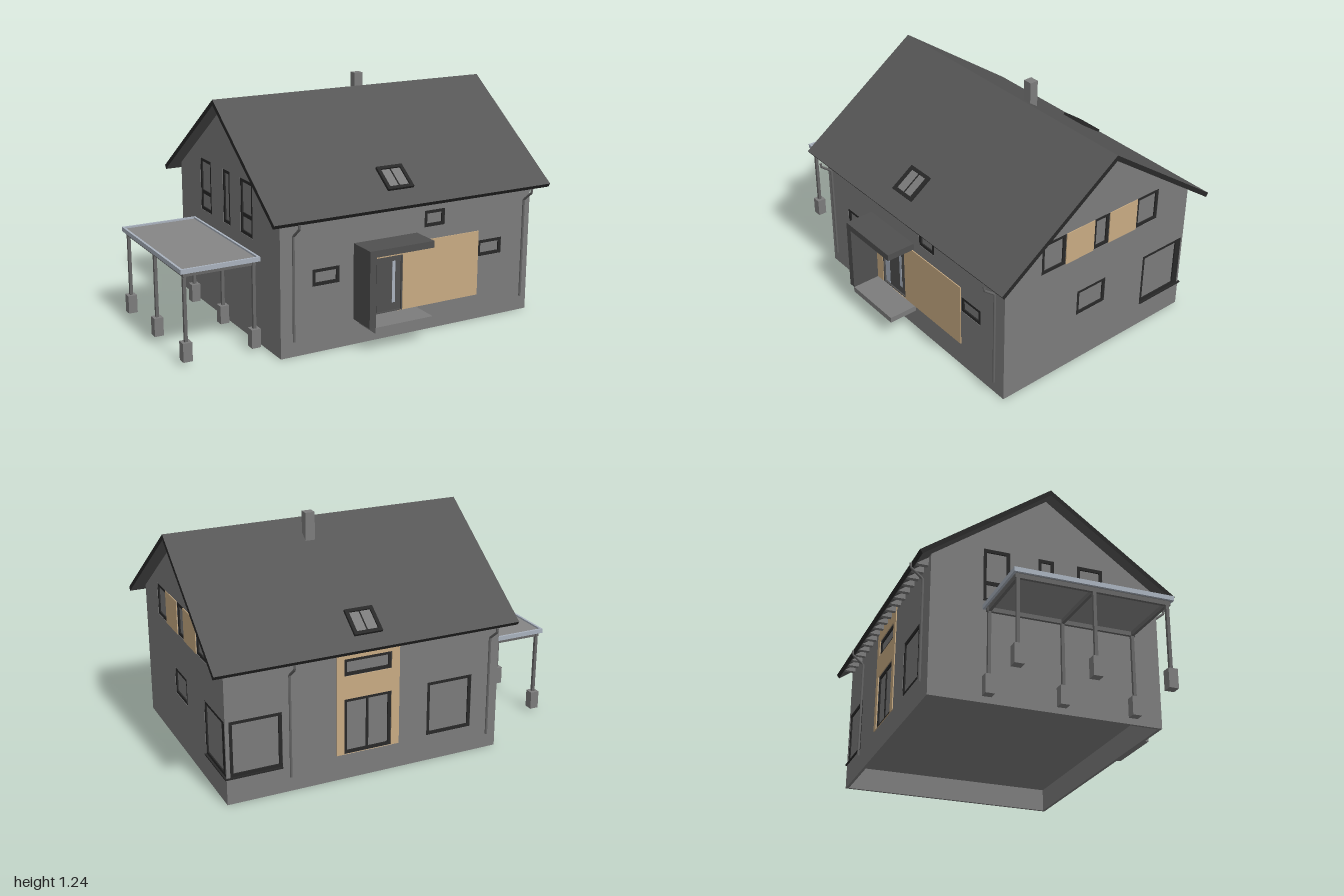
import * as THREE from 'three';

const mat = (name, color, side = THREE.FrontSide) => {
  const m = new THREE.MeshStandardMaterial({ color, side });
  m.name = name;
  return m;
};
const render = mat('greyRender', 0x7c7c7c);
const roofing = mat('roofTiles', 0x565656);
const dark = mat('darkFrame', 0x282828);
const wood = mat('woodCladding', 0xc8ab83);
const glass = mat('windowGlass', 0x7b7b7b);
const light = mat('lightTrim', 0xa9b2be);
const slate = mat('slatePanel', 0x505050);
const sheet = mat('carportSheet', 0x868686);
const pipe = mat('pipeMetal', 0x666666);

// House extents
const X0 = -0.553, X1 = 0.927, Z0 = -0.643, Z1 = 0.562;
const T = 0.015, FLOOR = 0.135;
const RIDGE_Y = 1.186, RIDGE_Z = -0.04, RUN = 0.68, DROP = 0.481;
const PITCH = Math.atan2(DROP, RUN), SLOPE = Math.hypot(RUN, DROP);
const under = z => RIDGE_Y - 0.02 - Math.abs(z - RIDGE_Z) * DROP / RUN;

function add(parent, name, geometry, material) {
  const m = new THREE.Mesh(geometry, material);
  m.name = name;
  parent.add(m);
  return m;
}

// Box given by its two opposite corners
function box(parent, name, material, [x0, y0, z0], [x1, y1, z1]) {
  const m = add(parent, name, new THREE.BoxGeometry(x1 - x0, y1 - y0, z1 - z0), material);
  m.position.set((x0 + x1) / 2, (y0 + y1) / 2, (z0 + z1) / 2);
  return m;
}

const outline = pts => new THREE.Shape(pts.map(p => new THREE.Vector2(...p)));
const rect = ([u0, v0, u1, v1]) => [[u0, v0], [u1, v0], [u1, v1], [u0, v1]];

// Flat panel with rectangular holes, from depth z0 to z1
function panel(parent, name, material, pts, holes, z0, z1) {
  const s = outline(pts);
  holes.forEach(h => s.holes.push(outline(rect(h))));
  const g = new THREE.ExtrudeGeometry(s, { depth: z1 - z0, bevelEnabled: false });
  g.translate(0, 0, z0);
  return add(parent, name, g, material);
}

// Recessed window: frame ring, pane and optional bars
function windowUnit(parent, r, { f = 0.017, fr = f, mullion, transom } = {}) {
  const [u0, v0, u1, v1] = r;
  const g = new THREE.Group();
  g.name = 'window';
  parent.add(g);
  panel(g, 'windowFrame', dark, rect(r), [[u0 + f, v0 + f, u1 - fr, v1 - f]], -T, -0.002);
  box(g, 'windowPane', glass, [u0 + 0.005, v0 + 0.005, -0.014], [u1 - 0.005, v1 - 0.005, -0.009]);
  if (mullion) box(g, 'mullion', dark, [mullion - 0.006, v0, -0.013], [mullion + 0.006, v1, -0.004]);
  if (transom) box(g, 'transom', dark, [u0, transom - 0.01, -0.013], [u1, transom + 0.01, -0.004]);
}

// Wall with openings, in its own plane facing +z
function wall(parent, name, pts, windows, extraHoles = []) {
  const g = new THREE.Group();
  g.name = name;
  parent.add(g);
  panel(g, name + 'Surface', render, pts, [...windows.map(w => w[0]), ...extraHoles], -T, 0);
  windows.forEach(([r, opt]) => windowUnit(g, r, opt));
  return g;
}

function buildWalls(house) {
  // Front wall with cladding and entrance door
  const doorway = [-0.06, FLOOR, 0.137, 0.43];
  const front = wall(house, 'frontWall', rect([X0 + T, 0, X1 - T, under(Z1)]), [
    [[-0.377, 0.343, -0.227, 0.43]],
    [[0.601, 0.343, 0.75, 0.43]],
    [[0.265, 0.55, 0.388, 0.637]],
  ], [doorway]);
  front.position.z = Z1;
  panel(front, 'frontCladding', wood, rect([-0.115, FLOOR, 0.6, 0.485]), [doorway], 0, 0.005);
  panel(front, 'doorFrame', slate, rect(doorway), [[-0.053, 0.14, 0.13, 0.423]], -T, 0.002);
  box(front, 'doorLeaf', slate, [-0.01, FLOOR, -0.014], [0.132, 0.425, -0.006]);
  box(front, 'doorSideLight', light, [-0.055, FLOOR, -0.014], [-0.014, 0.425, -0.008]);
  box(front, 'doorGlassStrip', light, [0.08, 0.18, -0.007], [0.097, 0.4, -0.004]);

  // Back wall: u runs towards -x
  const terrace = [-0.315, FLOOR, -0.058, 0.43], upper = [-0.315, 0.55, -0.058, 0.64];
  const back = wall(house, 'backWall', rect([-X1 + T, 0, -X0 - T, under(Z0)]), [
    [terrace, { mullion: -0.187 }],
    [upper],
    [[0.145, 0.14, 0.4, 0.43]],
    [[-0.908, 0.14, -0.64, 0.43]],
  ]);
  back.position.z = Z0;
  back.rotation.y = Math.PI;
  panel(back, 'backCladding', wood, rect([-0.355, FLOOR, -0.015, under(Z0) - 0.01]), [terrace, upper], 0, 0.005);

  // Gable walls
  const gable = (a, b, ridge) => [[a, 0], [b, 0], [b, under(Z0)], [ridge, under(RIDGE_Z)], [a, under(Z0)]];
  const left = wall(house, 'leftGable', gable(-Z1, -Z0, -RIDGE_Z), [
    [[-0.34, 0.64, -0.19, 0.815]],
    [[-0.01, 0.64, 0.09, 0.815]],
    [[0.275, 0.64, 0.425, 0.815]],
    [[-0.1, 0.285, 0.09, 0.43]],
    [[0.353, 0.14, 0.633, 0.43], { fr: 0.037 }],
  ]);
  left.position.x = X1;
  left.rotation.y = Math.PI / 2;
  [[-0.19, -0.01], [0.09, 0.275]].forEach(([a, b]) =>
    panel(left, 'gableCladding', wood, rect([a, 0.64, b, 0.815]), [], 0, 0.004));

  const right = wall(house, 'rightGable', gable(Z0, Z1, RIDGE_Z), [
    [[-0.375, 0.53, -0.235, 0.815], { transom: 0.63 }],
    [[-0.085, 0.53, 0.0, 0.815]],
    [[0.125, 0.53, 0.265, 0.815], { transom: 0.63 }],
  ]);
  right.position.x = X0;
  right.rotation.y = -Math.PI / 2;

  // Raised floor above the open base, and the corner window sill
  box(house, 'floorSlab', render, [X0 + T, FLOOR - 0.01, Z0 + T], [X1 - T, FLOOR, Z1 - T]);
  box(house, 'cornerSillSide', dark, [X1 - T, 0.134, Z0 - 0.008], [X1 + 0.008, 0.141, -0.353]);
  box(house, 'cornerSillBack', dark, [0.64, 0.134, Z0 - 0.008], [X1 + 0.008, 0.141, Z0 + T]);
}

// One roof slope; local +z runs down from the ridge
function buildSlope(house, name, turn, x0, x1, sky) {
  const side = new THREE.Group(), slope = new THREE.Group();
  side.name = name;
  slope.name = name + 'Slope';
  side.position.set(0, RIDGE_Y, RIDGE_Z);
  side.rotation.y = turn;
  slope.rotation.x = PITCH;
  side.add(slope);
  house.add(side);
  box(slope, 'roofSlab', [dark, dark, roofing, roofing, dark, dark], [x0, -0.024, 0], [x1, 0, SLOPE]);

  // Skylight
  const [a, s0, b, s1] = sky, w = 0.018, mid = (a + b) / 2;
  const ring = panel(slope, 'skylightFrame', dark, rect([a, -s1, b, -s0]),
    [[a + w, -s1 + w, b - w, -s0 - w]], 0, 0.014);
  ring.rotation.x = -Math.PI / 2;
  box(slope, 'skylightPane', glass, [a + 0.005, 0, s0 + 0.005], [b - 0.005, 0.006, s1 - 0.005]);
  box(slope, 'skylightBar', dark, [mid - 0.003, 0, s0], [mid + 0.003, 0.009, s1]);
}

// Rafter tails and downpipes for one eave; dir is +1 front, -1 back
function buildEave(house, dir, wallZ, pipeXs) {
  const tail = outline([[-0.005, 0.685], [0.05, 0.685], [0.066, 0.69], [-0.005, 0.742]]);
  for (let i = 0; i < 19; i++) {
    const g = new THREE.ExtrudeGeometry(tail, { depth: 0.025, bevelEnabled: false });
    const m = add(house, 'rafterTail', g, render);
    m.rotation.y = -dir * Math.PI / 2;
    m.position.set(X0 + 0.05 + i * 0.0765 + dir * 0.0125, 0, wallZ);
  }
  pipeXs.forEach(x => {
    const path = new THREE.CurvePath();
    const pts = [[0.082, 0.695], [0.08, 0.67], [0.018, 0.62], [0.018, 0.085]]
      .map(([d, y]) => new THREE.Vector3(x, y, wallZ + dir * d));
    for (let i = 0; i < 3; i++) path.add(new THREE.LineCurve3(pts[i], pts[i + 1]));
    add(house, 'downpipe', new THREE.TubeGeometry(path, 48, 0.0065, 8), pipe);
  });
}

function buildEntrance(house) {
  box(house, 'entranceStep', render, [-0.115, 0.105, Z1], [0.22, FLOOR, 0.72]);
  box(house, 'entranceScreen', slate, [-0.148, FLOOR, Z1], [-0.112, 0.495, 0.72]);
  box(house, 'entranceCanopy', slate, [-0.148, 0.495, Z1], [0.22, 0.53, 0.72]);
}

function buildCarport(root) {
  const g = new THREE.Group();
  g.name = 'carport';
  root.add(g);
  const x0 = -1, x1 = -0.585, z0 = -0.39, z1 = 0.415, w = 0.012;
  box(g, 'carportRoof', sheet, [x0 + w, 0.465, z0 + w], [x1 - w, 0.478, z1 - w]);
  [z0, z1 - w].forEach(z => box(g, 'carportEdge', light, [x0, 0.464, z], [x1, 0.487, z + w]));
  [x0, x1 - w].forEach(x => box(g, 'carportEdge', light, [x, 0.464, z0 + w], [x + w, 0.487, z1 - w]));
  const rows = [-0.365, 0.012, 0.388];
  for (const x of [-0.974, -0.611]) {
    box(g, 'carportBeam', pipe, [x - 0.008, 0.443, z0 + w], [x + 0.008, 0.465, z1 - w]);
    for (const z of rows) {
      box(g, 'carportPost', pipe, [x - 0.008, 0.115, z - 0.008], [x + 0.008, 0.443, z + 0.008]);
      box(g, 'postFooting', render, [x - 0.024, 0.018, z - 0.024], [x + 0.024, 0.115, z + 0.024]);
    }
  }
  rows.forEach(z => box(g, 'carportCrossbeam', pipe, [-0.966, 0.443, z - 0.008], [-0.619, 0.465, z + 0.008]));
}

export function createModel() {
  const root = new THREE.Group();
  root.name = 'house';
  buildWalls(root);
  buildSlope(root, 'frontRoof', 0, -0.62, 0.997, [0.05, 0.576, 0.2, 0.727]);
  buildSlope(root, 'backRoof', Math.PI, -0.997, 0.62, [-0.265, 0.6, -0.115, 0.75]);
  buildEave(root, 1, Z1, [-0.49, 0.875]);
  buildEave(root, -1, Z0, [-0.49, 0.605]);
  box(root, 'chimney', render, [0.25, 1.0, -0.167], [0.3, 1.24, -0.12]);
  buildEntrance(root);
  buildCarport(root);
  return root;
}
